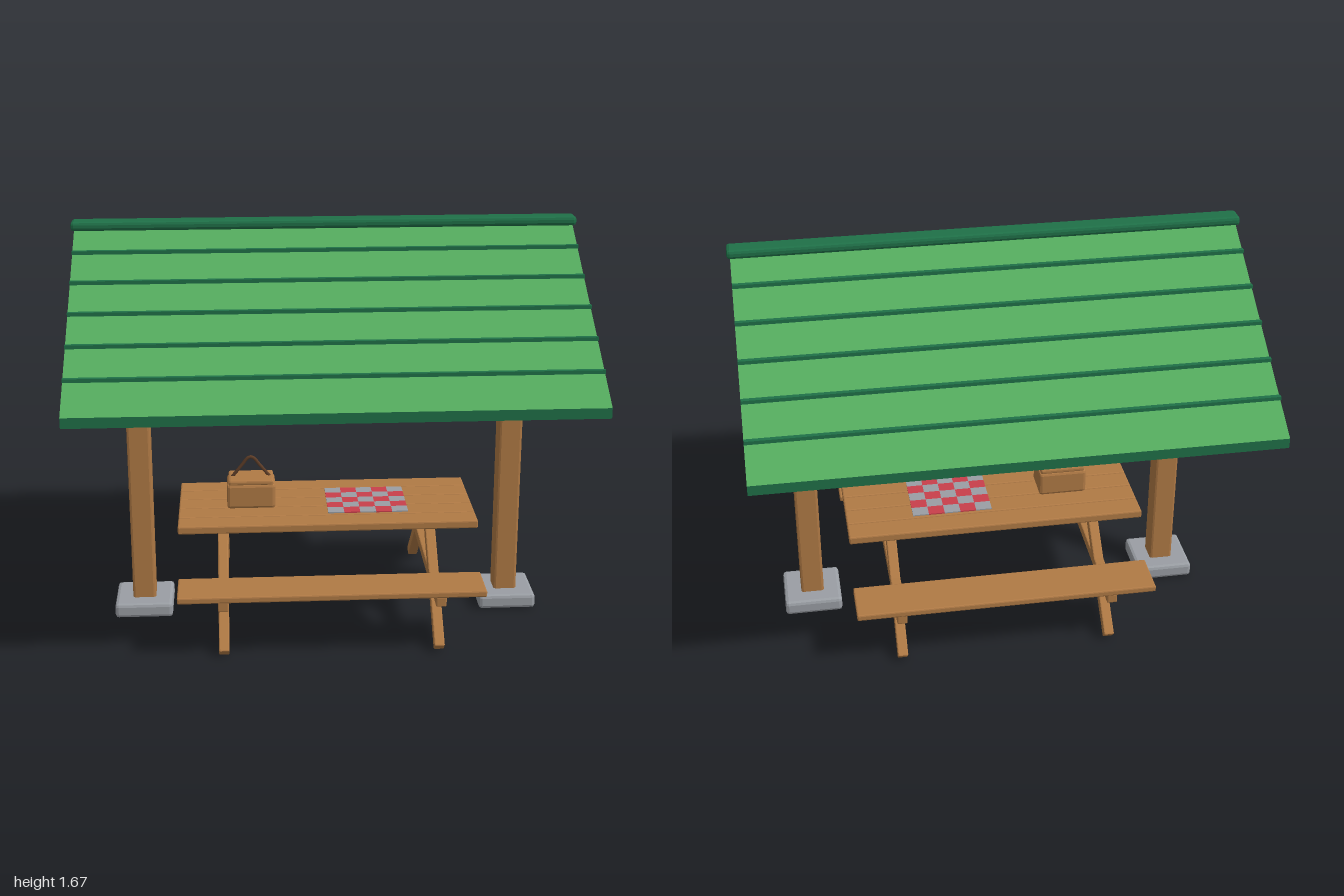
import * as THREE from 'three';
import { RoundedBoxGeometry } from 'three/addons/geometries/RoundedBoxGeometry.js';

const paint = (name, color) => {
  const m = new THREE.MeshStandardMaterial({ color });
  m.name = name;
  return m;
};

export function createModel() {
  const wood = paint('wood', 0xb07a45);
  const darkWood = paint('dark wood', 0x5f3e28);
  const ceiling = paint('ceiling board', 0xbf9565);
  const green = paint('roof green', 0x54ab5e);
  const darkGreen = paint('trim green', 0x1f7048);
  const stone = paint('stone grey', 0x9a9ea4);
  const red = paint('cloth red', 0xc93f4b);
  const metal = paint('lamp metal', 0x5c6570);
  const glow = paint('bulb', 0xf2cf98);

  const model = new THREE.Group();
  model.name = 'picnicShelter';

  const add = (name, geometry, material, x = 0, y = 0, z = 0) => {
    const mesh = new THREE.Mesh(geometry, material);
    mesh.name = name;
    mesh.position.set(x, y, z);
    model.add(mesh);
    return mesh;
  };
  // Box with chamfered edges and flat faces
  const block = (name, material, w, h, d, x, y, z, bevel = 0.008) => {
    const g = new RoundedBoxGeometry(w, h, d, 1, bevel);
    g.computeVertexNormals();
    return add(name, g, material, x, y, z);
  };
  // Square bar in the zy plane between two points
  const bar = (name, x, z0, y0, z1, y1, t) => {
    const m = block(name, wood, t, t, Math.hypot(z1 - z0, y1 - y0), x, (y0 + y1) / 2, (z0 + z1) / 2, 0.005);
    m.rotation.x = -Math.atan2(y1 - y0, z1 - z0);
  };

  // Roof slopes: light top, boarded underside, dark edges
  const slope = 0.62, run = 0.83, ridgeY = 1.645;
  const slab = new THREE.BoxGeometry(1.97, 0.04, run).translate(0, -0.02, run / 2);
  const p = slab.attributes.position;
  for (let i = 0; i < p.count; i++) p.setY(i, p.getY(i) - slope * p.getZ(i));
  slab.computeVertexNormals();
  const slabPaint = [darkGreen, darkGreen, green, ceiling, darkGreen, darkGreen];
  for (const s of [1, -1]) {
    const side = s > 0 ? 'front' : 'back';
    add(side + 'RoofSlope', slab, slabPaint, 0, ridgeY, 0).rotation.y = s > 0 ? 0 : Math.PI;
    // Batten strips across the slope
    for (let i = 1; i <= 5; i++) {
      const z = i * 0.1385;
      add(side + 'RoofBatten', new THREE.BoxGeometry(1.97, 0.014, 0.018), darkGreen,
        0, ridgeY - slope * z + 0.011, s * z);
    }
    block(side + 'Purlin', darkWood, 1.76, 0.056, 0.058, 0, 1.237, s * 0.586, 0.007);
  }
  block('ridgeCap', darkGreen, 1.995, 0.036, 0.084, 0, 1.65, 0, 0.012);
  block('ridgeBeam', darkWood, 1.77, 0.096, 0.094, 0, 1.438, 0, 0.01);

  // Posts, footings and braces
  for (const s of [1, -1]) {
    const side = s > 0 ? 'left' : 'right';
    block(side + 'Footing', stone, 0.24, 0.062, 0.24, s * 0.767, 0.033, 0, 0.014);
    block(side + 'Post', wood, 0.096, 1.4, 0.096, s * 0.767, 0.7, 0, 0.01);
    for (const f of [1, -1]) bar(side + 'Brace', s * 0.767, f * 0.03, 1.142, f * 0.375, 1.385, 0.045);
  }

  // Table planks, benches and trestles
  for (let i = -2; i <= 2; i++)
    block('tablePlank', wood, 1.22, 0.034, 0.1, 0, 0.447, i * 0.1005, 0.006);
  for (const s of [1, -1]) {
    block('bench', wood, 1.22, 0.027, 0.19, 0, 0.265, s * 0.432, 0.006);
    block('trestleRail', wood, 0.042, 0.042, 1.04, s * 0.43, 0.232, 0, 0.005);
    for (const f of [1, -1]) bar('tableLeg', s * 0.43, f * 0.487, 0.017, f * 0.05, 0.425, 0.042);
  }

  // Chequered cloth
  for (let i = 0; i < 5; i++)
    for (let j = 0; j < 5; j++)
      add('clothSquare', new THREE.BoxGeometry(0.066, 0.005, 0.055), (i + j) % 2 ? red : stone,
        0.17 + (i - 2) * 0.066, 0.4665, (j - 2) * 0.055);

  // Basket with lid and bowed handle
  block('basket', wood, 0.2, 0.106, 0.142, -0.31, 0.517, 0, 0.012);
  block('basketLid', wood, 0.186, 0.024, 0.132, -0.31, 0.575, 0, 0.008);
  const arch = new THREE.CatmullRomCurve3([
    [-0.39, 0.58], [-0.345, 0.636], [-0.325, 0.662], [-0.31, 0.669], [-0.295, 0.662], [-0.275, 0.636], [-0.23, 0.58],
  ].map(([x, y]) => new THREE.Vector3(x, y, 0)));
  add('basketHandle', new THREE.TubeGeometry(arch, 20, 0.007, 6), darkWood);

  // Hanging lamp
  add('lampCord', new THREE.CylinderGeometry(0.005, 0.005, 0.27, 6), metal, 0, 1.265, 0);
  const shadePaint = metal.clone();
  shadePaint.side = THREE.DoubleSide;
  add('lampShade', new THREE.CylinderGeometry(0.022, 0.072, 0.045, 10, 1, true), shadePaint, 0, 1.127, 0);
  add('lampShadeCap', new THREE.CylinderGeometry(0.016, 0.022, 0.012, 10), metal, 0, 1.152, 0);
  add('lampBulb', new THREE.SphereGeometry(0.035, 10, 8), glow, 0, 1.099, 0);

  return model;
}
